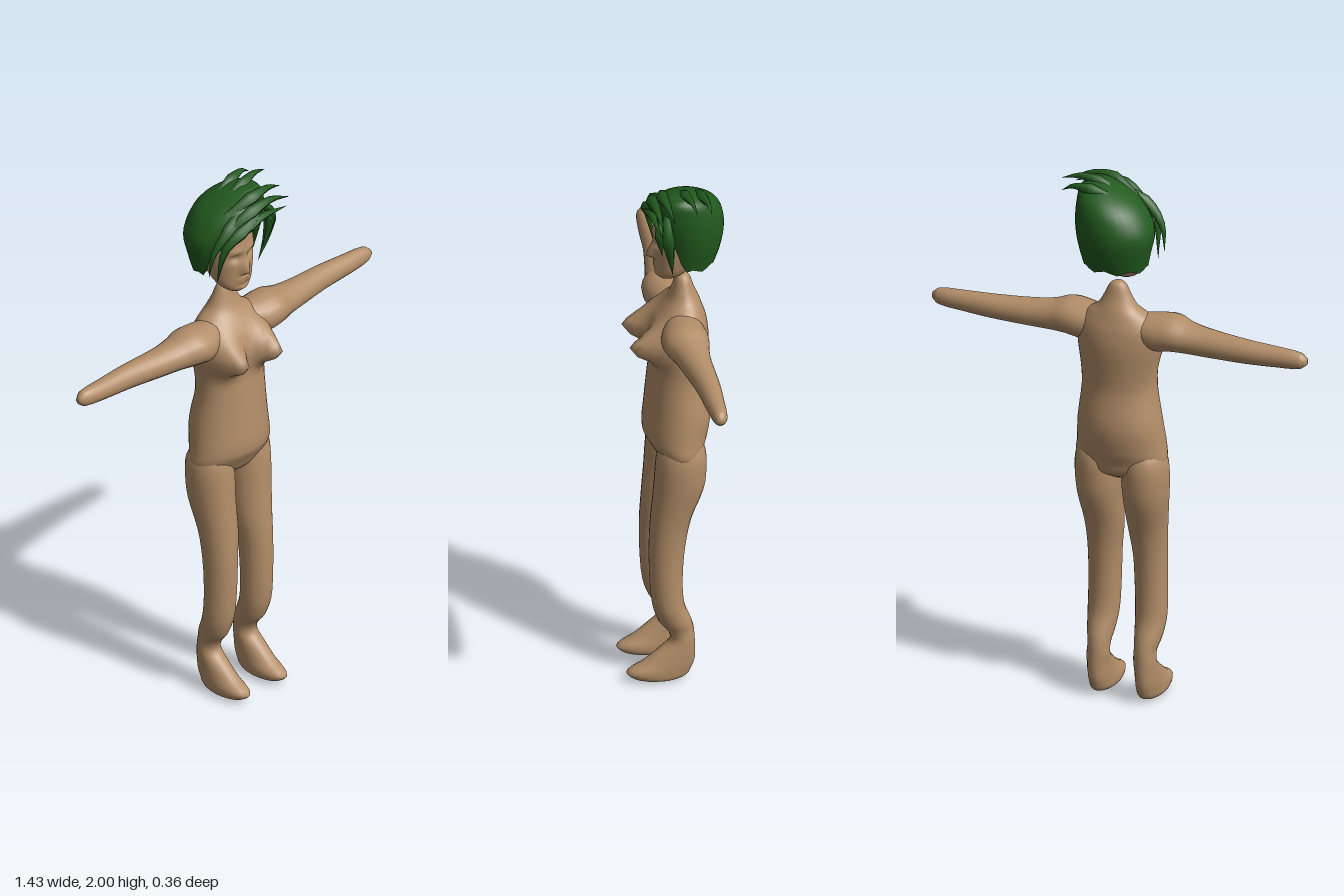
import * as THREE from 'three';

const skin = new THREE.MeshStandardMaterial({ color: 0xb38e69 });
skin.name = 'skin';
const green = new THREE.MeshStandardMaterial({ color: 0x225a1e, side: THREE.DoubleSide });
green.name = 'hairGreen';

const bump = (d, w) => Math.exp(-(d / w) * (d / w));

// Smooth interpolation of cross-section rows [t, a0, a1, b0, b1]
function sample(rows, t) {
  let i = 0;
  while (i < rows.length - 2 && t > rows[i + 1][0]) i++;
  const slope = (k, c) => {
    const p = rows[Math.max(k - 1, 0)], q = rows[Math.min(k + 1, rows.length - 1)];
    return (q[c] - p[c]) / (q[0] - p[0]);
  };
  const p = rows[i], q = rows[i + 1], h = q[0] - p[0];
  const s = (t - p[0]) / h, s2 = s * s, s3 = s2 * s;
  return [1, 2, 3, 4].map(c =>
    p[c] * (2 * s3 - 3 * s2 + 1) + q[c] * (3 * s2 - 2 * s3) +
    h * (slope(i, c) * (s3 - 2 * s2 + s) + slope(i + 1, c) * (s3 - s2)));
}

// Closed loft through oval sections; axis 'y': a = x, b = z; axis 'x': a = z, b = y
function loft(rows, { axis = 'y', sides = 20, sub = 3, power = 1, hem, shape, openBottom } = {}) {
  const ts = [];
  rows.forEach((r, i) => {
    if (i === rows.length - 1) return ts.push(r[0]);
    for (let k = 0; k < sub; k++) ts.push(r[0] + (rows[i + 1][0] - r[0]) * k / sub);
  });
  const low = ts[0], top = ts[ts.length - 1];
  const pos = [], index = [];
  const push = (a, t, b) => (axis === 'y' ? pos.push(a, t, b) : pos.push(t, b, a));
  const soft = v => Math.sign(v) * Math.pow(Math.abs(v), power);
  for (const t0 of ts) {
    for (let j = 0; j < sides; j++) {
      const ang = j / sides * Math.PI * 2;
      const t = hem ? top - (top - t0) / (top - low) * (top - hem(ang)) : t0;
      const [a0, a1, b0, b1] = sample(rows, t);
      let a = (a0 + a1) / 2 + (a1 - a0) / 2 * soft(Math.sin(ang));
      let b = (b0 + b1) / 2 + (b1 - b0) / 2 * soft(Math.cos(ang));
      if (shape) b += shape(a, t, Math.max(Math.cos(ang), 0));
      push(a, t, b);
    }
  }
  const n = ts.length;
  for (let i = 0; i < n - 1; i++) for (let j = 0; j < sides; j++) {
    const p = i * sides + j, q = i * sides + (j + 1) % sides;
    index.push(p, q, q + sides, p, q + sides, p + sides);
  }
  const first = rows[0], last = rows[rows.length - 1], c = n * sides;
  for (const r of [first, last]) push((r[1] + r[2]) / 2, r[0], (r[3] + r[4]) / 2);
  for (let j = 0; j < sides; j++) {
    const k = (j + 1) % sides, e = (n - 1) * sides;
    if (!openBottom) index.push(c, k, j);
    index.push(c + 1, e + j, e + k);
  }
  const g = new THREE.BufferGeometry();
  g.setAttribute('position', new THREE.Float32BufferAttribute(pos, 3));
  g.setIndex(index);
  g.computeVertexNormals();
  return g;
}

// Tapered, curved lock of hair, thickest at the given fraction of its length
function lock(points, radius, peak = 0.3) {
  const curve = new THREE.CatmullRomCurve3(points.map(p => new THREE.Vector3(...p)));
  const seg = 10, ring = 7;
  const g = new THREE.TubeGeometry(curve, seg, 1, ring - 1);
  const p = g.attributes.position, v = new THREE.Vector3();
  for (let i = 0; i < p.count; i++) {
    const t = Math.floor(i / ring) / seg, c = curve.getPointAt(t);
    const r = radius * (t < peak ? 0.5 + 0.5 * t / peak : (1 - t) / (1 - peak));
    v.fromBufferAttribute(p, i).sub(c).multiplyScalar(Math.max(r, 0.0005)).add(c);
    p.setXYZ(i, v.x, v.y, v.z);
  }
  g.computeVertexNormals();
  return g;
}

export function createModel() {
  const model = new THREE.Group();
  model.name = 'figure';
  const add = (name, geometry, material, parent = model) => {
    const m = new THREE.Mesh(geometry, material);
    m.name = name;
    parent.add(m);
  };

  // Torso with neck stump and bust
  add('torso', loft([
    [0.86, -0.03, 0.04, -0.05, 0.02],
    [0.89, -0.12, 0.13, -0.095, 0.055],
    [0.93, -0.165, 0.17, -0.105, 0.078],
    [0.98, -0.163, 0.168, -0.122, 0.104],
    [1.08, -0.15, 0.16, -0.135, 0.1],
    [1.2, -0.13, 0.148, -0.115, 0.09],
    [1.28, -0.132, 0.15, -0.118, 0.082],
    [1.37, -0.148, 0.16, -0.125, 0.08],
    [1.44, -0.15, 0.16, -0.118, 0.068],
    [1.49, -0.11, 0.12, -0.102, 0.035],
    [1.52, -0.07, 0.08, -0.092, 0.015],
    [1.56, -0.045, 0.055, -0.075, 0],
    [1.6, -0.025, 0.035, -0.062, -0.012],
    [1.612, -0.01, 0.018, -0.048, -0.024],
  ], {
    sides: 40,
    shape: (x, y, f) => 0.115 * Math.sqrt(f) * bump(y - 1.365, y > 1.365 ? 0.065 : 0.05) *
      (bump(x - 0.092, 0.05) + bump(x + 0.085, 0.05)),
  }), skin);

  // Arms held straight out
  const arm = [
    [0.04, -0.075, 0.02, 1.4, 1.49],
    [0.13, -0.095, 0.065, 1.365, 1.5],
    [0.2, -0.094, 0.07, 1.372, 1.505],
    [0.26, -0.083, 0.048, 1.375, 1.487],
    [0.34, -0.078, 0.03, 1.376, 1.477],
    [0.48, -0.077, 0.008, 1.382, 1.47],
    [0.6, -0.069, 0, 1.389, 1.464],
    [0.69, -0.06, -0.01, 1.398, 1.458],
    [0.714, -0.045, -0.022, 1.415, 1.44],
  ];
  add('leftArm', loft(arm, { axis: 'x' }), skin);
  add('rightArm', loft(arm.map(([x, ...r]) => [-x, ...r]).reverse(), { axis: 'x' }), skin);

  // Legs running down into the feet
  const leg = [
    [0.004, 0.07, 0.115, 0, 0.1],
    [0.018, 0.047, 0.134, -0.035, 0.155],
    [0.045, 0.042, 0.138, -0.053, 0.18],
    [0.075, 0.045, 0.136, -0.063, 0.13],
    [0.12, 0.048, 0.133, -0.065, 0.07],
    [0.16, 0.048, 0.13, -0.063, 0.025],
    [0.2, 0.048, 0.128, -0.06, 0.035],
    [0.24, 0.042, 0.138, -0.05, 0.065],
    [0.31, 0.034, 0.147, -0.025, 0.088],
    [0.42, 0.03, 0.147, -0.02, 0.098],
    [0.55, 0.025, 0.148, -0.03, 0.1],
    [0.66, 0.012, 0.154, -0.052, 0.094],
    [0.78, 0.007, 0.168, -0.095, 0.084],
    [0.87, 0.003, 0.174, -0.105, 0.078],
    [0.94, 0.01, 0.168, -0.1, 0.07],
    [1.0, 0.03, 0.14, -0.07, 0.05],
  ];
  add('leftLeg', loft(leg), skin);
  add('rightLeg', loft(leg.map(([y, a, b, ...z]) => [y, -b, -a, ...z])), skin);

  // Head with sculpted brow, eye sockets, nose, lips and chin
  const face = (x0, y, f) => {
    const x = x0 - 0.005, side = Math.abs(x);
    const nose = y > 1.7 ? bump(y - 1.7, 0.045) : bump(y - 1.7, 0.012);
    return Math.pow(f, 0.4) * (0.028 * nose * bump(x, 0.014)
      - 0.015 * bump(side - 0.036, 0.02) * bump(y - 1.757, 0.014)
      + 0.006 * bump(side - 0.036, 0.028) * bump(y - 1.785, 0.012)
      + 0.008 * bump(x, 0.024) * (bump(y - 1.669, 0.006) + bump(y - 1.655, 0.006))
      + 0.006 * bump(x, 0.025) * bump(y - 1.628, 0.012));
  };
  add('head', loft([
    [1.611, -0.022, 0.032, 0, 0.045],
    [1.625, -0.045, 0.055, -0.025, 0.056],
    [1.65, -0.065, 0.075, -0.055, 0.06],
    [1.69, -0.076, 0.086, -0.1, 0.064],
    [1.74, -0.083, 0.093, -0.125, 0.067],
    [1.8, -0.085, 0.095, -0.135, 0.066],
    [1.86, -0.08, 0.09, -0.13, 0.055],
    [1.91, -0.05, 0.08, -0.1, 0.03],
    [1.93, -0.02, 0.05, -0.07, 0],
  ], { sides: 56, sub: 7, power: 0.88, shape: face }), skin);

  // Hair shell, short over the forehead and long at the sides and back
  const hair = new THREE.Group();
  hair.name = 'hair';
  model.add(hair);
  add('hairShell', loft([
    [1.67, -0.105, 0.122, -0.145, 0.05],
    [1.74, -0.12, 0.138, -0.168, 0.06],
    [1.81, -0.134, 0.15, -0.181, 0.072],
    [1.87, -0.112, 0.154, -0.175, 0.08],
    [1.92, -0.07, 0.152, -0.155, 0.078],
    [1.96, 0, 0.147, -0.11, 0.055],
    [1.982, 0.06, 0.125, -0.05, 0.02],
  ], {
    sides: 32,
    openBottom: true,
    hem: a => 1.685 + 0.165 * THREE.MathUtils.smoothstep(Math.cos(a), 0.2, 0.8)
      + 0.008 * Math.cos(a * 8),
  }), green, hair);

  // Swept fringe, side locks and windblown tips
  const locks = [
    [[[0.1, 1.94, 0.06], [0.0, 1.89, 0.085], [-0.09, 1.83, 0.07], [-0.112, 1.685, 0.045]], 0.024],
    [[[0.06, 1.95, 0.03], [-0.07, 1.88, 0.055], [-0.128, 1.81, 0.045], [-0.14, 1.72, 0.035]], 0.024],
    [[[-0.1, 1.82, 0.05], [-0.03, 1.872, 0.08], [0.07, 1.9, 0.085], [0.2, 1.885, 0.075]], 0.022],
    [[[-0.08, 1.87, 0.05], [0.02, 1.93, 0.075], [0.12, 1.945, 0.075], [0.215, 1.915, 0.07]], 0.024],
    [[[-0.04, 1.92, 0.02], [0.06, 1.965, 0.045], [0.14, 1.97, 0.04], [0.21, 1.945, 0.03]], 0.024],
    [[[0, 1.94, -0.03], [0.08, 1.975, -0.03], [0.15, 1.99, -0.04], [0.215, 1.975, -0.05]], 0.022],
    [[[0.02, 1.95, -0.08], [0.09, 1.968, -0.09], [0.15, 1.975, -0.1], [0.19, 1.955, -0.105]], 0.022],
    [[[0.1, 1.92, 0.04], [0.145, 1.88, 0.045], [0.145, 1.78, 0.035], [0.115, 1.675, 0.02]], 0.023],
    [[[0.09, 1.9, 0.06], [0.12, 1.86, 0.07], [0.118, 1.81, 0.065], [0.1, 1.75, 0.055]], 0.016],
  ];
  locks.forEach(([points, radius], i) => add('hairLock' + (i + 1), lock(points, radius, 0.4), green, hair));

  return model;
}
